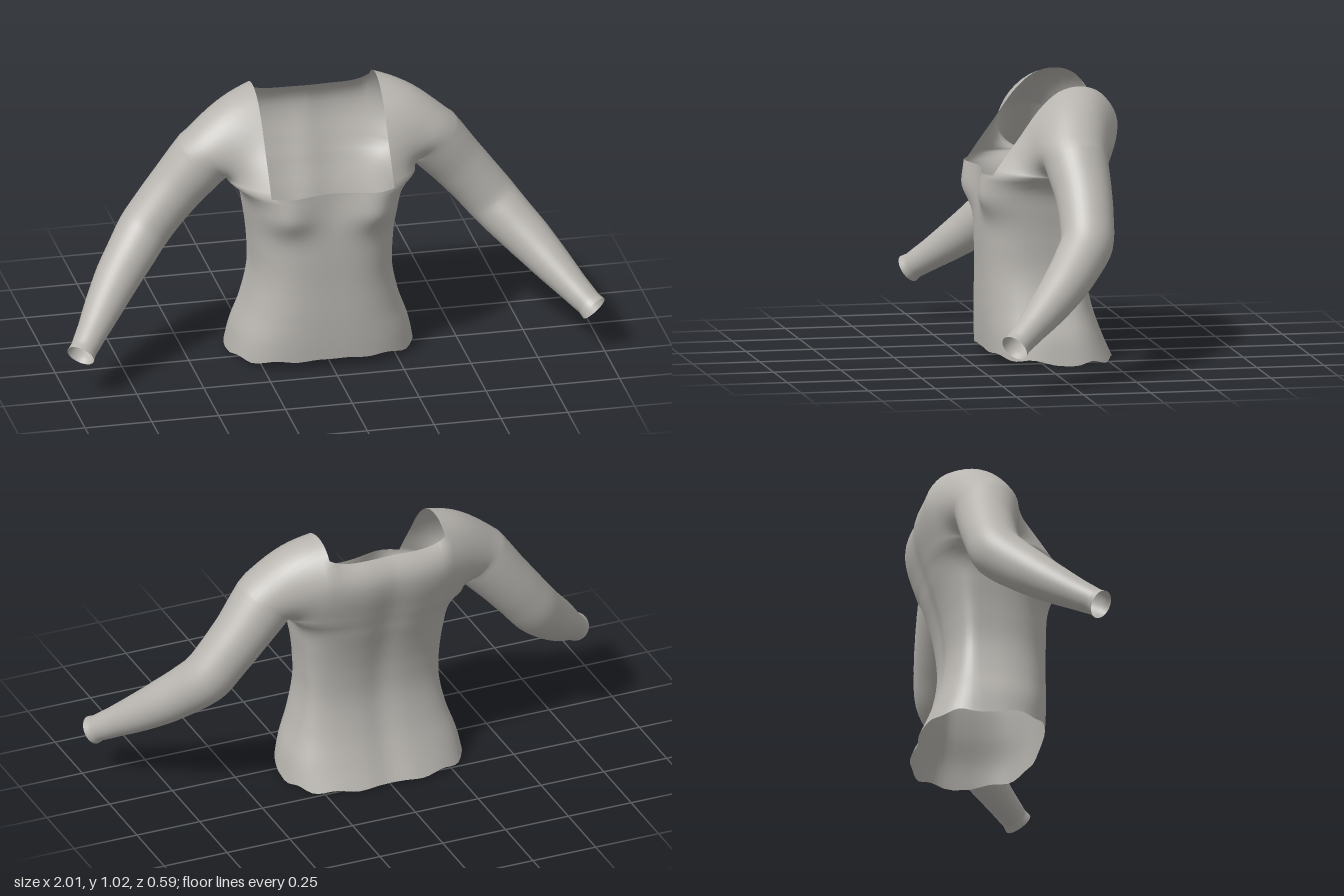
import * as THREE from 'three';
import { mergeVertices } from 'three/addons/utils/BufferGeometryUtils.js';

const V = (x, y, z) => new THREE.Vector3(x, y, z);
const NF = 9, NS = 9, N = 36;      // segments: half neckline, half armhole, round the arm
const NECK = 0.23, TOP = 0.70, MID_Z = -0.09;

// Torso half width, front depth and back depth by height
const torsoShape = new THREE.CubicInterpolant(
  [0, 0.1, 0.2, 0.33, 0.45, 0.55, 0.64, 0.67, 0.7],
  [
    0.345, 0.175, -0.295,
    0.325, 0.182, -0.25,
    0.29, 0.185, -0.215,
    0.262, 0.185, -0.192,
    0.264, 0.187, -0.2,
    0.276, 0.185, -0.222,
    0.295, 0.178, -0.25,
    0.315, 0.176, -0.258,
    0.35, 0.175, -0.268,
  ], 3);

// Point on the torso: column j runs from front centre round the side to back centre
const COLS = 2 * (NF + NS);
function torsoPoint(j, y) {
  const [w, zf, zb] = torsoShape.evaluate(y);
  const back = j > NF + NS;
  const k = back ? COLS - j : j;
  const n = back ? 2.6 : 3;
  const u0 = NECK / 0.35;
  const a0 = Math.asin(u0 ** (n / 2));
  const u = k <= NF ? u0 * k / NF
    : Math.sin(a0 + (Math.PI / 2 - a0) * (k - NF) / NS) ** (2 / n);
  const depth = Math.max(0, 1 - u ** n) ** (1 / n);
  const x = u * w;
  let z = MID_Z + ((back ? zb : zf) - MID_Z) * depth;
  if (back) z += 0.012 * Math.exp(-((x / 0.06) ** 2));            // spine groove
  else if (k < NF + NS) {                                         // bust
    const dy = (y - 0.62) / (y > 0.62 ? 0.14 : 0.075);
    z += 0.055 * Math.exp(-(((x - 0.18) / 0.1) ** 2) - dy * dy) * Math.min(1, depth * 1.5);
  }
  return V(x, y, z);
}

// Torso from the uneven hem up to the armpits
function torsoRows() {
  const rows = [];
  for (let i = 0; i <= 36; i++) {
    const row = [];
    for (let j = 0; j <= COLS; j++) {
      const a = Math.PI * j / COLS;
      const hem = 0.011 + 0.028 * Math.max(0, Math.cos(a)) + 0.008 * Math.sin(11 * a) * Math.sin(a);
      row.push(torsoPoint(j, THREE.MathUtils.lerp(hem, TOP, i / 36)));
    }
    rows.push(row);
  }
  return rows;
}

// Shoulder arches from the neck edge out to the closed armhole
const armhole = { c: V(0.415, 0.79, MID_Z), up: V(0.065, 0.09, 0) };
function shoulderRows(ring) {
  const front = ring[NF], back = ring[NF + 2 * NS];
  const neckEdge = new THREE.CatmullRomCurve3([
    front,
    V(NECK, 0.745, 0.147), V(NECK, 0.84, 0.078), V(NECK, 0.945, 0),
    V(NECK, 1.003, -0.07), V(NECK, 1.02, -0.145), V(NECK, 1.003, -0.21),
    V(NECK, 0.95, -0.262), V(NECK, 0.89, -0.285), V(NECK, 0.82, -0.28),
    back,
  ]).getSpacedPoints(N);
  const rows = [];
  for (let i = 0; i <= NS; i++) {
    const s = i / NS;
    const row = neckEdge.map((p, j) => {
      const t = j / N, a = 2 * Math.PI * t;
      const loop = armhole.c.clone().addScaledVector(armhole.up, -Math.cos(a));
      loop.z += 0.12 * Math.sin(a);
      const q = p.clone().lerp(loop, s);
      q.y += 0.024 * Math.sin(Math.PI * s) * Math.sin(Math.PI * t) ** 2;
      return q;
    });
    // Ease both feet of the arch onto the torso
    const df = ring[NF + i].clone().sub(row[0]);
    const db = ring[NF + 2 * NS - i].clone().sub(row[N]);
    row.forEach((q, j) => {
      q.addScaledVector(df, Math.max(0, 1 - j / N / 0.35) ** 2);
      q.addScaledVector(db, Math.max(0, 1 - (1 - j / N) / 0.35) ** 2);
    });
    rows.push(row);
  }
  return rows;
}

// Upper back between the shoulders, dipping to the back neckline
function upperBackRows(ring, edge) {
  const base = ring.slice(NF + 2 * NS);
  const column = [];
  for (let j = N; edge[j].y < 0.975 && edge[j].z < -0.15; j--) column.push(edge[j]);
  return column.map((e, i) => {
    const v = i / (column.length - 1);
    return base.map((b) => {
      const flat = 1 - (b.x / NECK) ** 6;
      const y = TOP + (e.y - TOP) * (1 - 0.1 * v * flat);
      return V(b.x, y, e.z + (b.z - base[0].z) * (1 - 0.6 * v));
    });
  });
}

// Sleeve rings along the bent arm
function sleeveRows(start) {
  const path = new THREE.CatmullRomCurve3([
    armhole.c, V(0.46, 0.737, -0.095), V(0.52, 0.665, -0.1), V(0.59, 0.58, -0.097),
    V(0.65, 0.505, -0.085), V(0.7, 0.448, -0.045), V(0.77, 0.375, 0.02),
    V(0.84, 0.3, 0.1), V(0.9, 0.237, 0.175), V(0.945, 0.192, 0.23), V(0.96, 0.177, 0.248),
  ]);
  const radii = [0.117, 0.112, 0.104, 0.099, 0.097, 0.092, 0.084, 0.071, 0.057, 0.049, 0.053];
  const rows = [start], steps = 40;
  for (let i = 1; i <= steps; i++) {
    const t = i / steps, f = t * (radii.length - 1);
    const k = Math.min(Math.floor(f), radii.length - 2);
    const r = THREE.MathUtils.lerp(radii[k], radii[k + 1], f - k);
    const c = path.getPoint(t), dir = path.getTangent(t);
    const fwd = V(0, 0, 1).addScaledVector(dir, -dir.z).normalize();
    const up = fwd.clone().cross(dir);
    rows.push(start.map((_, j) => {
      const a = 2 * Math.PI * j / N;
      return c.clone().addScaledVector(up, -r * Math.cos(a)).addScaledVector(fwd, r * Math.sin(a));
    }));
  }
  return rows;
}

export function createModel() {
  const cloth = new THREE.MeshStandardMaterial({ color: 0xb8b5b0, side: THREE.DoubleSide });
  cloth.name = 'grey cloth';

  const positions = [], parts = [];
  // Adds the quads of a grid of points, on one side of the body
  function addGrid(rows, flip, side) {
    const put = (p) => positions.push(p.x * side, p.y, p.z);
    for (let i = 0; i + 1 < rows.length; i++) {
      for (let j = 0; j + 1 < rows[i].length; j++) {
        const a = rows[i][j], b = rows[i][j + 1], c = rows[i + 1][j + 1], d = rows[i + 1][j];
        const tris = [[a, b, c], [a, c, d]];
        for (const t of tris) (flip === (side > 0) ? t.reverse() : t).forEach(put);
      }
    }
  }
  function addPart(name, rows, flip, sides) {
    const start = positions.length / 3;
    sides.forEach((s) => addGrid(rows, flip, s));
    parts.push({ name, start, end: positions.length / 3 });
  }

  const torso = torsoRows();
  const ring = torso[torso.length - 1];
  const shoulder = shoulderRows(ring);
  const sleeve = sleeveRows(shoulder[NS]);
  addPart('torso', torso, false, [1, -1]);
  addPart('upperBack', upperBackRows(ring, shoulder[0]), false, [1, -1]);
  for (const [label, s] of [['left', 1], ['right', -1]]) {
    addPart(label + 'Shoulder', shoulder, true, [s]);
    addPart(label + 'Sleeve', sleeve, true, [s]);
  }

  // Weld everything so the shading runs smoothly across the seams
  const raw = new THREE.BufferGeometry();
  raw.setAttribute('position', new THREE.Float32BufferAttribute(positions, 3));
  const whole = mergeVertices(raw, 1e-4);
  whole.computeVertexNormals();

  const group = new THREE.Group();
  group.name = 'shirt';
  for (const { name, start, end } of parts) {
    const geometry = new THREE.BufferGeometry();
    geometry.setAttribute('position', whole.getAttribute('position'));
    geometry.setAttribute('normal', whole.getAttribute('normal'));
    geometry.setIndex(Array.from(whole.index.array.slice(start, end)));
    const mesh = new THREE.Mesh(geometry, cloth);
    mesh.name = name;
    group.add(mesh);
  }
  return group;
}
